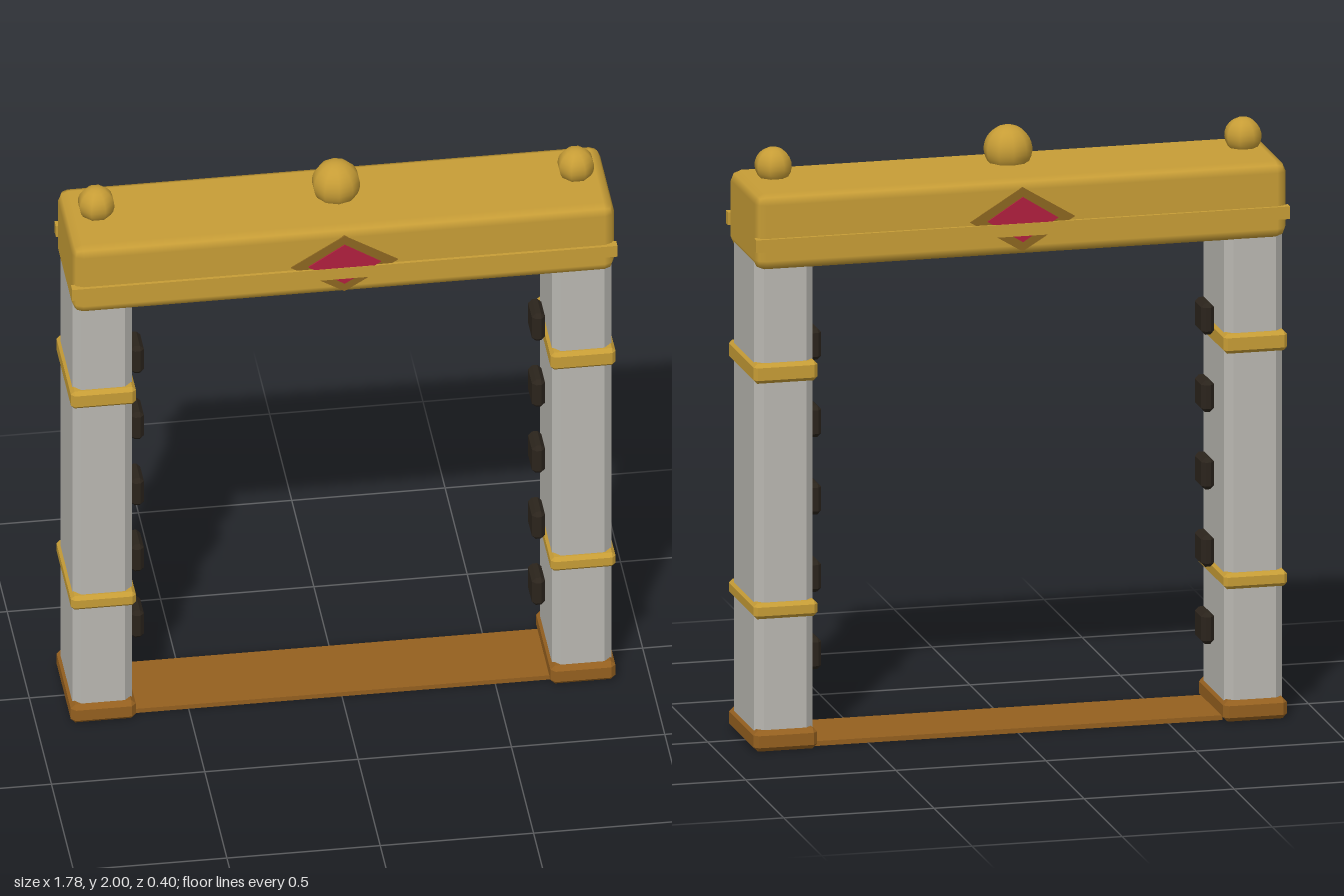
import * as THREE from 'three';
import { ConvexGeometry } from 'three/addons/geometries/ConvexGeometry.js';
import { RoundedBoxGeometry } from 'three/addons/geometries/RoundedBoxGeometry.js';

const material = (name, color) => {
  const m = new THREE.MeshStandardMaterial({ color });
  m.name = name;
  return m;
};

// Box with every edge cut by c (flat facets)
function chamferBox(w, h, d, c) {
  const points = [];
  for (const sx of [-1, 1]) for (const sy of [-1, 1]) for (const sz of [-1, 1]) {
    for (let axis = 0; axis < 3; axis++) {
      const p = [w / 2 - c, h / 2 - c, d / 2 - c];
      p[axis] += c;
      points.push(new THREE.Vector3(sx * p[0], sy * p[1], sz * p[2]));
    }
  }
  return new ConvexGeometry(points);
}

// Upright post with only its vertical edges cut
function postGeometry(w, h, d, c) {
  const x = w / 2, z = d / 2, points = [];
  for (const y of [-h / 2, h / 2]) for (const sx of [-1, 1]) for (const sz of [-1, 1]) {
    points.push(new THREE.Vector3(sx * (x - c), y, sz * z));
    points.push(new THREE.Vector3(sx * x, y, sz * (z - c)));
  }
  return new ConvexGeometry(points);
}

// Thin diamond plate facing +z
function diamondGeometry(halfW, halfH, depth) {
  const shape = new THREE.Shape([
    new THREE.Vector2(halfW, 0), new THREE.Vector2(0, halfH),
    new THREE.Vector2(-halfW, 0), new THREE.Vector2(0, -halfH),
  ]);
  return new THREE.ExtrudeGeometry(shape, { depth, bevelEnabled: false });
}

export function createModel() {
  const gold = material('gold', 0xc79d36);
  const darkGold = material('dark gold', 0x8c6620);
  const bronze = material('bronze', 0x95601f);
  const stone = material('pale stone', 0xbab8b2);
  const red = material('red gem', 0xb01f3e);
  const black = material('dark stud', 0x2b241c);

  const model = new THREE.Group();
  model.name = 'gateway';
  const add = (name, geometry, mat, x, y, z, parent = model) => {
    const mesh = new THREE.Mesh(geometry, mat);
    mesh.name = name;
    mesh.position.set(x, y, z);
    parent.add(mesh);
    return mesh;
  };

  // Side pillars with base, bands and a column of studs on the inner face
  const post = postGeometry(0.194, 1.58, 0.316, 0.026);
  const base = chamferBox(0.212, 0.07, 0.35, 0.015);
  const studGeometry = chamferBox(0.043, 0.105, 0.11, 0.013);
  for (const [side, s] of [['left', 1], ['right', -1]]) {
    const pillar = new THREE.Group();
    pillar.name = side + 'Pillar';
    model.add(pillar);
    add('post', post, stone, s * 0.782, 0.85, 0, pillar);
    add('base', base, bronze, s * 0.782, 0.04, 0, pillar);
    add('lowerBand', chamferBox(0.212, 0.053, 0.35, 0.012), gold, s * 0.782, 0.474, 0, pillar);
    add('upperBand', chamferBox(0.212, 0.066, 0.35, 0.012), gold, s * 0.782, 1.266, 0, pillar);
    for (let i = 0; i < 5; i++) {
      add('stud', studGeometry, black, s * 0.654, 0.289 + i * 0.258, 0, pillar);
    }
    // Eight-sided end finial
    const finial = new THREE.SphereGeometry(0.061, 8, 8, 0, Math.PI * 2, 0, Math.PI * 0.7);
    finial.rotateY(Math.PI / 8);
    add('endFinial', finial, gold, s * 0.782, 1.915, 0, pillar);
  }

  // Threshold plank
  add('threshold', new THREE.BoxGeometry(1.36, 0.016, 0.27), bronze, 0, 0.013, 0);

  // Lintel
  add('lintel', new RoundedBoxGeometry(1.768, 0.254, 0.378, 1, 0.034), gold, 0, 1.738, 0);

  // Front and back trim and diamond emblem
  for (const [name, turn] of [['front', 0], ['back', Math.PI]]) {
    const face = new THREE.Group();
    face.name = name + 'Ornament';
    face.rotation.y = turn;
    model.add(face);
    add('trim', new THREE.BoxGeometry(1.778, 0.042, 0.03), gold, 0, 1.7, 0.185, face);
    add('emblemPlate', diamondGeometry(0.175, 0.107, 0.008), darkGold, 0, 1.733, 0.185, face);
    add('emblemGem', diamondGeometry(0.118, 0.075, 0.005), red, 0, 1.733, 0.193, face);
  }

  // Ten-sided central finial
  add('centreFinial',
    new THREE.SphereGeometry(0.079, 10, 10, Math.PI / 2, Math.PI * 2, 0, Math.PI * 0.67),
    gold, 0, 1.921, 0);

  return model;
}
